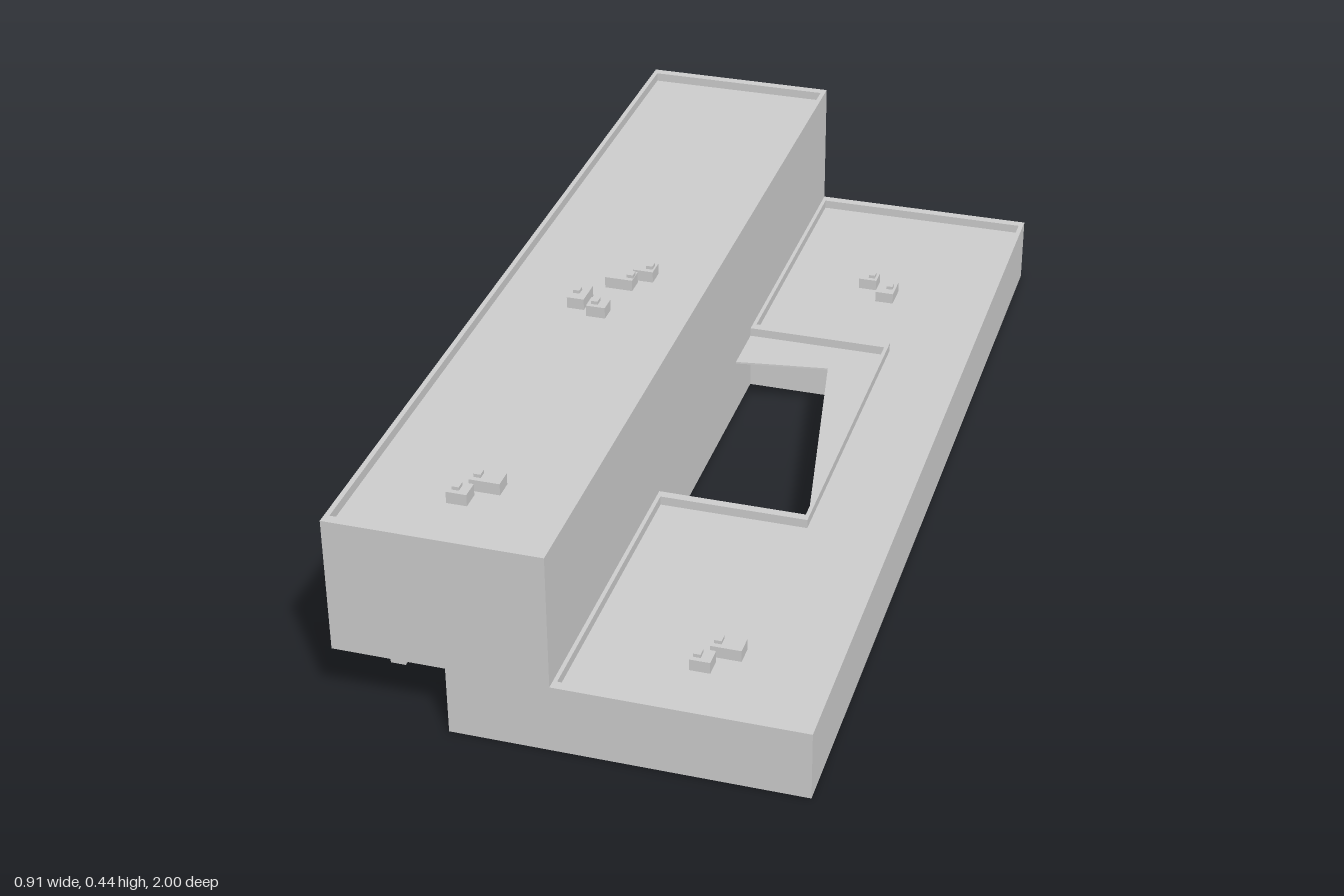
import * as THREE from 'three';

const material = new THREE.MeshStandardMaterial({ color: 0xcccccc, flatShading: true });

const points = (list) => list.map(([a, b]) => new THREE.Vector2(a, b));
const rect = (a0, a1, b0, b1) => [[a0, b0], [a1, b0], [a1, b1], [a0, b1]];

function shapeOf(outline, holes = []) {
  const shape = new THREE.Shape(points(outline));
  holes.forEach((h) => shape.holes.push(new THREE.Path(points(h))));
  return shape;
}

export function createModel() {
  const model = new THREE.Group();

  function add(name, geometry, parent = model) {
    const mesh = new THREE.Mesh(geometry, material);
    mesh.name = name;
    parent.add(mesh);
    return mesh;
  }

  // Plan outline (x, z) raised from y0 to y1
  function plan(name, outline, holes, y0, y1, parent) {
    const g = new THREE.ExtrudeGeometry(shapeOf(outline, holes), { depth: y1 - y0, bevelEnabled: false });
    g.rotateX(Math.PI / 2).translate(0, y1, 0);
    return add(name, g, parent);
  }

  function block(name, x0, x1, y0, y1, z0, z1, parent) {
    const g = new THREE.BoxGeometry(x1 - x0, y1 - y0, z1 - z0);
    g.translate((x0 + x1) / 2, (y0 + y1) / 2, (z0 + z1) / 2);
    return add(name, g, parent);
  }

  const W = 0.453, S = -0.033; // outer half width, line between the wings
  const LOW = 0.143, HIGH = 0.423; // parapet tops
  const lowRoof = 0.124, highRoof = 0.404;

  // Ground floor below the tall wing, with its angled entrance notch
  plan('undercroftWalls', [
    [S, 1], [-0.232, 1], [-0.232, -0.2], [-0.285, -0.24],
    [-0.095, -0.64], [-0.253, -1], [S, -1],
  ], [], 0, LOW);

  // Low wing around an open courtyard
  plan('lowWingWalls', [
    [S, -1], [W, -1], [W, 1], [S, 1], [S, 0.337], [0.272, 0.337], [0.272, -0.34], [S, -0.34],
  ], [], 0, lowRoof - 0.004);

  // Roof sheet with the skewed courtyard opening
  plan('lowWingRoof', [
    [S, -1], [W, -1], [W, 1], [S, 1], [S, 0.337], [0.272, 0.337], [0.165, -0.25], [S, -0.222],
  ], [], lowRoof - 0.004, lowRoof);

  // Low parapet follows the outer edge and the courtyard
  plan('lowWingParapet', [
    [S, -1], [W, -1], [W, 1], [S, 1], [S, 0.337], [0.268, 0.337], [0.268, -0.34], [S, -0.34],
  ], [[
    [S + 0.008, -0.98], [W - 0.01, -0.98], [W - 0.01, 0.98], [S + 0.008, 0.98],
    [S + 0.008, 0.355], [0.276, 0.355], [0.276, -0.36], [S + 0.008, -0.36],
  ]], lowRoof - 0.004, LOW);

  // Tall wing body and parapet
  const recess = 0.025;
  block('tallWingBody', -W + recess, S, LOW, highRoof, -1, 1);
  plan('tallWingParapet', rect(-W, S, -1, 1), [rect(-W + 0.01, S - 0.01, -0.98, 0.98)], highRoof, HIGH);

  // Window wall: five recessed bays in a shallow frame
  const bays = [[-0.97, -0.655], [-0.63, -0.21], [-0.185, 0.32], [0.345, 0.637], [0.662, 0.97]];
  const frame = new THREE.ExtrudeGeometry(
    shapeOf(rect(-1, 1, LOW, highRoof), bays.map(([a, b]) => rect(a, b, 0.163, 0.402))),
    { depth: recess, bevelEnabled: false });
  frame.rotateY(-Math.PI / 2).translate(-W + recess, 0, 0);
  add('windowFrame', frame);

  // Tapered supports under the overhang
  const legs = new THREE.Group();
  legs.name = 'supportLegs';
  model.add(legs);
  const legShape = shapeOf([[-0.413, 0], [-0.383, 0], [-0.383, LOW], [-0.44, LOW]]);
  for (const z of [0.82, 0.6, 0.38, 0.15, -0.08, -0.36, -0.67, -0.95]) {
    const g = new THREE.ExtrudeGeometry(legShape, { depth: 0.03, bevelEnabled: false });
    add('supportLeg', g.translate(0, 0, z - 0.015), legs);
  }

  // Rooftop equipment: a housing with a small cap
  const units = new THREE.Group();
  units.name = 'roofUnits';
  model.add(units);
  function roofUnit(x0, x1, z0, z1, roof, capX) {
    const zc = (z0 + z1) / 2;
    block('unitHousing', x0, x1, roof, roof + 0.024, z0, z1, units);
    block('unitCap', capX - 0.007, capX + 0.007, roof + 0.024, roof + 0.031, zc - 0.009, zc + 0.009, units);
  }
  [
    [-0.2, -0.157, -0.068, -0.028, -0.168], [-0.245, -0.187, -0.02, 0.018, -0.195],
    [-0.293, -0.257, 0.06, 0.12, -0.28], [-0.245, -0.205, 0.105, 0.142, -0.23],
    [-0.245, -0.185, 0.77, 0.808, -0.232], [-0.27, -0.23, 0.82, 0.858, -0.255],
  ].forEach(([a, b, c, d, cap]) => roofUnit(a, b, c, d, highRoof, cap));
  [
    [0.145, 0.185, -0.655, -0.617, 0.172], [0.195, 0.235, -0.625, -0.567, 0.222],
    [0.21, 0.27, 0.77, 0.808, 0.222], [0.185, 0.225, 0.82, 0.858, 0.197],
  ].forEach(([a, b, c, d, cap]) => roofUnit(a, b, c, d, lowRoof, cap));

  return model;
}
